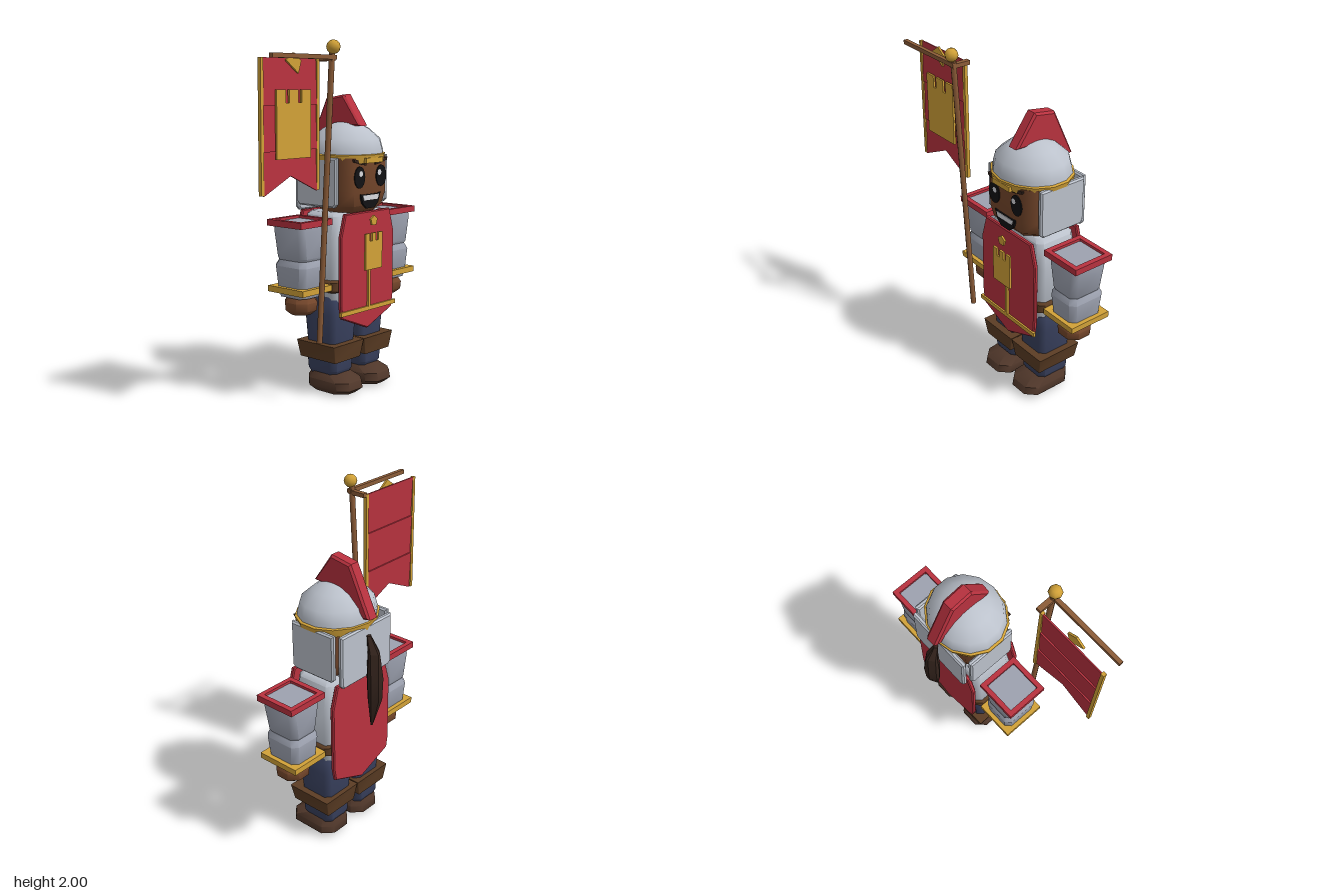
import * as THREE from 'three';
import { toCreasedNormals } from 'three/addons/utils/BufferGeometryUtils.js';

const mat = (color) => new THREE.MeshStandardMaterial({ color, side: THREE.DoubleSide });
const red = mat(0xb9323f), steel = mat(0xbcc2cc), armour = mat(0x9da2b0), gold = mat(0xd2a238);
const leather = mat(0x5c3d24), boot = mat(0x50372a), navy = mat(0x3a4260), skin = mat(0x77482c);
const wood = mat(0x8c5c38), hair = mat(0x33231c), black = mat(0x121214), white = mat(0xd8dade);

function add(parent, name, geometry, material, x = 0, y = 0, z = 0) {
  const mesh = new THREE.Mesh(geometry, material);
  mesh.name = name;
  mesh.position.set(x, y, z);
  parent.add(mesh);
  return mesh;
}

const box = (w, h, d) => new THREE.BoxGeometry(w, h, d);

// Stack of chamfered rectangles; each ring is [y, width, depth, zOffset]
function stack(rings, chamfer = 0.03, crease = 0.9) {
  const pos = [], idx = [], n = 8;
  for (const [y, w, d, oz = 0] of rings) {
    const a = w / 2, b = d / 2, c = Math.min(chamfer, a * 0.9, b * 0.9);
    const loop = [[a, b - c], [a, c - b], [a - c, -b], [c - a, -b], [-a, c - b], [-a, b - c], [c - a, b], [a - c, b]];
    for (const [x, z] of loop) pos.push(x, y, z + oz);
  }
  for (let r = 0; r < rings.length - 1; r++) {
    for (let i = 0; i < n; i++) {
      const a = r * n + i, b = r * n + (i + 1) % n;
      idx.push(a, b, b + n, a, b + n, a + n);
    }
  }
  const top = (rings.length - 1) * n;
  for (let i = 1; i < n - 1; i++) idx.push(0, i + 1, i, top, top + i, top + i + 1);
  const g = new THREE.BufferGeometry();
  g.setAttribute('position', new THREE.Float32BufferAttribute(pos, 3));
  g.setIndex(idx);
  return toCreasedNormals(g, crease);
}

// Flat outline given thickness, centred on z = 0
function slab(points, depth, bevel = 0, holes = []) {
  const shape = new THREE.Shape(points.map(([x, y]) => new THREE.Vector2(x, y)));
  for (const h of holes) shape.holes.push(new THREE.Path(h.map(([x, y]) => new THREE.Vector2(x, y))));
  const g = new THREE.ExtrudeGeometry(shape, {
    depth: depth - 2 * bevel, bevelEnabled: bevel > 0, bevelSize: bevel,
    bevelThickness: bevel, bevelOffset: -bevel, bevelSegments: 1,
  });
  return g.translate(0, 0, -depth / 2 + bevel);
}

const rect = (w, h) => [[-w / 2, -h / 2], [w / 2, -h / 2], [w / 2, h / 2], [-w / 2, h / 2]];
const mirrored = (half) => [...half, ...half.map(([x, y]) => [-x, y]).reverse()];

// Tower emblem with three battlements, bottom edge on y = 0
function tower(w, h, notch, gap) {
  const m = (w - 2 * gap) / 3, a = m / 2, b = a + gap;
  return slab(mirrored([[w / 2, 0], [w / 2, h], [b, h], [b, h - notch], [a, h - notch], [a, h]]), 0.012);
}

const pentagon = (r) => slab([0, 1, 2, 3, 4].map((i) => {
  const t = Math.PI / 2 + i * Math.PI * 0.4;
  return [r * Math.cos(t), r * Math.sin(t)];
}), 0.012);

function buildLimbs(body) {
  for (const s of [-1, 1]) {
    const side = new THREE.Group();
    side.name = s > 0 ? 'leftLimbs' : 'rightLimbs';
    body.add(side);
    // Legs
    add(side, 'boot', stack([[0, 0.17, 0.25, 0.055], [0.03, 0.222, 0.32, 0.055], [0.075, 0.222, 0.31, 0.05], [0.112, 0.17, 0.22, 0.02]], 0.055), boot, s * 0.13);
    add(side, 'shin', stack([[0.1, 0.16, 0.19], [0.13, 0.19, 0.22], [0.26, 0.205, 0.23]]), navy, s * 0.13, 0, 0.012);
    add(side, 'thigh', stack([[0.23, 0.19, 0.2], [0.3, 0.21, 0.22], [0.46, 0.23, 0.24], [0.54, 0.225, 0.235], [0.6, 0.19, 0.2]]), navy, s * 0.125, 0, 0.012);
    add(side, 'kneeStrap', stack([[0.195, 0.225, 0.27], [0.295, 0.265, 0.29]], 0.003), leather, s * 0.135, 0, 0.02);
    // Arms
    const arm = new THREE.Group();
    arm.name = 'arm';
    arm.position.set(s * 0.385, 0, 0.013);
    side.add(arm);
    add(arm, 'upperArm', stack([[0.79, 0.16, 0.19], [0.82, 0.185, 0.22], [0.97, 0.225, 0.235], [1.015, 0.22, 0.22]]), armour);
    add(arm, 'forearm', stack([[0.595, 0.17, 0.19], [0.63, 0.185, 0.21], [0.77, 0.205, 0.235], [0.805, 0.175, 0.205]]), armour);
    add(arm, 'shoulderTrim', slab(rect(0.256, 0.256), 0.036, 0, [rect(0.196, 0.2)]).rotateX(-Math.PI / 2), red, 0, 1.012);
    add(arm, 'wristTrim', box(0.24, 0.034, 0.265), gold, 0, 0.638);
    add(arm, 'hand', stack([[0.495, 0.12, 0.12], [0.52, 0.165, 0.17], [0.565, 0.172, 0.175], [0.605, 0.13, 0.14]], 0.045), skin, 0, 0, 0.007);
  }
}

function buildTorso(body) {
  add(body, 'torso', stack([[0.54, 0.44, 0.24], [0.62, 0.49, 0.27], [0.88, 0.49, 0.27], [1.03, 0.43, 0.25], [1.05, 0.38, 0.22]]), steel, 0, 0, 0.012);
  add(body, 'belt', stack([[0.6, 0.49, 0.27], [0.612, 0.52, 0.285], [0.66, 0.52, 0.285], [0.672, 0.49, 0.27]]), leather, 0, 0, 0.014);

  // Front and back cloth
  const cloth = mirrored([[0, 0.365], [0.225, 0.455], [0.238, 0.53], [0.238, 0.92], [0.2, 1.05]]);
  for (const [name, z] of [['frontTabard', 0.177], ['backTabard', -0.145]]) add(body, name, slab(cloth, 0.026, 0.006), red, 0, 0, z);

  // Gold ornaments
  add(body, 'tabardBar', box(0.495, 0.025, 0.016), gold, 0, 0.485, 0.192);
  add(body, 'emblemStem', box(0.02, 0.23, 0.012), gold, 0, 0.61, 0.196);
  add(body, 'chestTower', tower(0.15, 0.21, 0.045, 0.022), gold, 0, 0.72, 0.228);
  add(body, 'chestBadge', pentagon(0.031), gold, 0, 1.0, 0.228);
}

function buildHead(body) {
  add(body, 'head', stack([[1.045, 0.3, 0.22], [1.085, 0.37, 0.29], [1.16, 0.4, 0.32], [1.36, 0.4, 0.32]], 0.06), skin, 0, 0, 0.04);

  // Face
  const zf = 0.2;
  for (const s of [-1, 1]) {
    add(body, 'eye', new THREE.CylinderGeometry(1, 1, 0.012, 16).rotateX(Math.PI / 2).scale(0.046, 0.062, 1), black, s * 0.096, 1.25, zf);
    add(body, 'eyeGlint', new THREE.CircleGeometry(0.017, 8), white, s * 0.105 + (s < 0 ? 0.016 : -0.028), 1.27, zf + 0.008);
    const brow = [[0.04, 1.315], [0.085, 1.322], [0.145, 1.338], [0.15, 1.355], [0.08, 1.345], [0.045, 1.335]];
    add(body, 'eyebrow', slab(s > 0 ? brow : brow.map(([x, y]) => [-x, y]).reverse(), 0.014), hair, 0, 0, zf);
  }
  add(body, 'mouth', slab(mirrored([[0.035, 1.07], [0.07, 1.1], [0.09, 1.155], [0.06, 1.15]]), 0.012), black, 0, 0, zf);
  add(body, 'teeth', slab(mirrored([[0.062, 1.118], [0.072, 1.146]]), 0.006), white, 0, 0, zf + 0.006);

  // Helmet
  const profile = [[0.233, 1.36], [0.229, 1.4], [0.212, 1.46], [0.14, 1.52], [0.07, 1.55], [0, 1.56]];
  const dome = new THREE.LatheGeometry(profile.map(([r, y]) => new THREE.Vector2(r, y)), 14);
  add(body, 'helmetDome', dome, steel, 0, 0, 0.018).scale.z = 0.92;
  const ring = [[0.2, 1.335], [0.236, 1.33], [0.246, 1.375], [0.225, 1.382], [0.2, 1.335]];
  const band = new THREE.LatheGeometry(ring.map(([r, y]) => new THREE.Vector2(r, y)), 14);
  add(body, 'helmetBand', toCreasedNormals(band, 0.6), gold, 0, 0, 0.018).scale.z = 0.9;
  add(body, 'helmetPeak', box(0.15, 0.03, 0.02), gold, 0, 1.345, 0.225);

  const guard = (w, h) => slab(mirrored([[w / 2 - 0.02, -h / 2], [w / 2, 0.02 - h / 2], [w / 2, h / 2]]), 0.032, 0.009);
  for (const s of [-1, 1]) {
    add(body, 'cheekGuard', guard(0.3, 0.28).rotateY(Math.PI / 2), steel, s * 0.218, 1.222, -0.005);
  }
  add(body, 'neckGuard', guard(0.41, 0.31), steel, 0, 1.2, -0.178);

  // Plume, drawn as (z, y) and turned to run front to back
  const crest = [[0.155, 1.535], [0.03, 1.712], [-0.105, 1.69], [-0.19, 1.51], [-0.237, 1.41], [-0.19, 1.402], [-0.13, 1.48], [0.02, 1.53]];
  add(body, 'crest', slab(crest.slice().reverse(), 0.078, 0.012).rotateY(-Math.PI / 2), red);

  // Ponytail, a flat tapering lock
  const lock = [[0.75, 0.015, 0.015, -0.228], [0.93, 0.09, 0.08, -0.25], [1.06, 0.1, 0.085, -0.25], [1.21, 0.075, 0.075, -0.24], [1.3, 0.03, 0.03, -0.205]];
  add(body, 'ponytail', stack(lock, 0.03, 0.3), hair);
}

function buildBanner(root) {
  const banner = new THREE.Group();
  banner.name = 'banner';
  root.add(banner);

  // Leaning pole, finial and crossbar
  const tilt = Math.atan2(0.09, 1.6);
  const pole = add(banner, 'pole', new THREE.CylinderGeometry(0.016, 0.016, 1.6, 8), wood, -0.22, 1.145, 0.204);
  pole.rotation.x = tilt;
  add(banner, 'finial', new THREE.SphereGeometry(0.038, 8, 6), gold, -0.22, 1.962, 0.258);
  add(banner, 'crossbar', box(0.48, 0.024, 0.024), wood, -0.44, 1.908, 0.253);
  add(banner, 'crossbarTie', box(0.03, 0.024, 0.11), wood, -0.22, 1.9, 0.205);

  // Cloth in three overlapping folds, the last one forked
  const flag = new THREE.Group();
  flag.name = 'flag';
  flag.position.set(-0.45, 0, 0.16);
  banner.add(flag);
  const folds = [[[-0.2, -0.24], [0.2, -0.24]], [[-0.2, -0.24], [0.2, -0.24]], [[-0.2, -0.23], [0, -0.137], [0.2, -0.23]]];
  folds.forEach((bottom, i) => {
    const fold = add(flag, 'flagFold', slab([...bottom, [0.2, 0], [-0.2, 0]], 0.008), red, 0, 1.9 - i * 0.235, -0.004);
    fold.rotation.x = -0.035;
  });
  for (const s of [-1, 1]) add(flag, 'flagEdge', box(0.02, 0.695, 0.02), gold, s * 0.21, 1.552, 0);
  add(flag, 'flagTower', tower(0.255, 0.355, 0.067, 0.024), gold, 0, 1.385, 0.025);
  add(flag, 'flagBadge', slab(mirrored([[0.035, 1.822], [0.056, 1.888], [0, 1.928]]).slice(0, 5), 0.012), gold, 0, 0, 0.025);
}

export function createModel() {
  const root = new THREE.Group();
  root.name = 'bannerGuard';
  const body = new THREE.Group();
  body.name = 'body';
  body.position.x = 0.165;
  root.add(body);
  buildLimbs(body);
  buildTorso(body);
  buildHead(body);
  buildBanner(root);
  return root;
}
